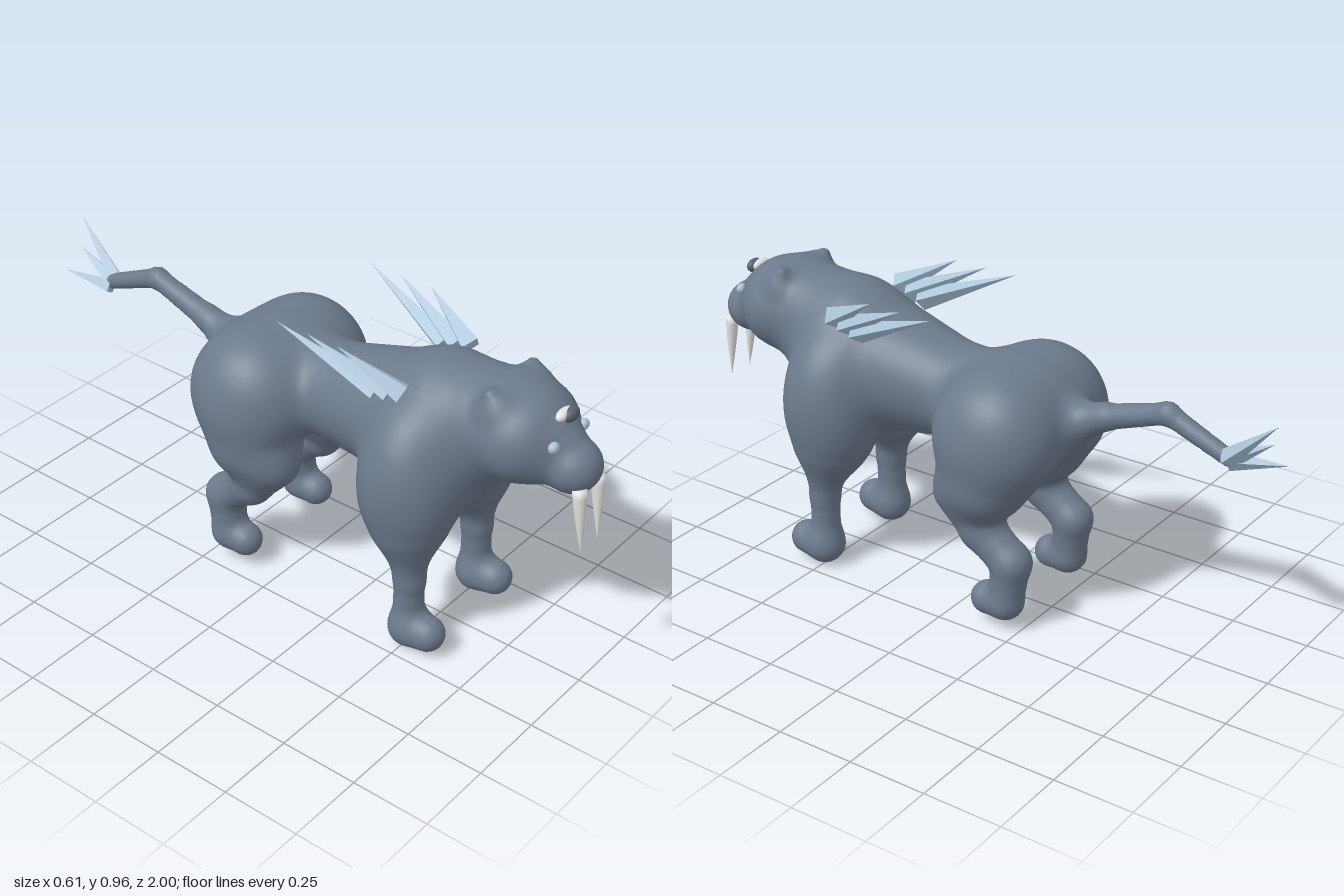
import * as THREE from 'three';

const V = (x, y, z) => new THREE.Vector3(x, y, z);
const mat = (name, color) => {
  const m = new THREE.MeshStandardMaterial({ color });
  m.name = name;
  return m;
};

// Rounded forms that melt into one skin, mirrored in x; k is the blend width
const forms = [];
function mass(k, cx, cy, cz, rx, ry, rz) {
  forms.push({ k, d: (x, y, z) => {
    const px = (x - cx) / rx, py = (y - cy) / ry, pz = (z - cz) / rz;
    const a = Math.hypot(px, py, pz) + 1e-6;
    return a * (a - 1) / (Math.hypot(px / rx, py / ry, pz / rz) + 1e-6);
  } });
}
// A run of tapering segments through joints [x, y, z, radius]
function limb(k, ...joints) {
  for (let i = 1; i < joints.length; i++) {
    const [ax, ay, az, ra] = joints[i - 1], [bx, by, bz, rb] = joints[i];
    const dx = bx - ax, dy = by - ay, dz = bz - az;
    const len = dx * dx + dy * dy + dz * dz;
    forms.push({ k: i === 1 ? k : 0.02, d: (x, y, z) => {
      const px = x - ax, py = y - ay, pz = z - az;
      const t = THREE.MathUtils.clamp((px * dx + py * dy + pz * dz) / len, 0, 1);
      return Math.hypot(px - t * dx, py - t * dy, pz - t * dz) - ra - t * (rb - ra);
    } });
  }
}

// chest, back, belly and pelvis
mass(0.03, 0, 0.67, 0.48, 0.2, 0.245, 0.215);
limb(0.03, [0, 0.68, 0.4, 0.2], [0, 0.65, 0.1, 0.145], [0, 0.65, -0.1, 0.153]);
limb(0.02, [0, 0.6, 0.37, 0.14], [0, 0.618, 0.1, 0.12]);
mass(0.04, 0, 0.64, -0.13, 0.235, 0.182, 0.205);
// shoulder and hip
mass(0.06, 0.15, 0.56, 0.475, 0.151, 0.245, 0.155);
mass(0.06, 0.14, 0.61, -0.13, 0.16, 0.198, 0.197);
// neck, throat and head
limb(0.04, [0, 0.74, 0.52, 0.18], [0, 0.785, 0.7, 0.155]);
limb(0.03, [0, 0.67, 0.54, 0.16], [0, 0.76, 0.7, 0.132]);
mass(0.02, 0, 0.785, 0.755, 0.168, 0.15, 0.15);
// broad brow, ear, jaw, nose bridge and muzzle
limb(0.03, [0, 0.868, 0.72, 0.07], [0.082, 0.873, 0.715, 0.058]);
limb(0.03, [0.092, 0.9, 0.715, 0.028], [0.105, 0.927, 0.7, 0.014]);
limb(0.04, [0, 0.755, 0.84, 0.096], [0, 0.733, 0.915, 0.075]);
limb(0.03, [0, 0.8, 0.85, 0.07], [0, 0.745, 0.93, 0.058]);
mass(0.015, 0, 0.733, 0.915, 0.084, 0.077, 0.083);
// front leg
limb(0.05, [0.17, 0.4, 0.49, 0.083], [0.172, 0.24, 0.502, 0.046],
  [0.173, 0.07, 0.502, 0.047]);
limb(0.04, [0.174, 0.064, 0.51, 0.061], [0.175, 0.068, 0.575, 0.055]);
// hind leg
limb(0.04, [0.15, 0.56, -0.12, 0.145], [0.158, 0.48, -0.108, 0.14]);
limb(0.05, [0.162, 0.42, -0.035, 0.092], [0.17, 0.31, -0.105, 0.066],
  [0.17, 0.225, -0.213, 0.06], [0.175, 0.09, -0.195, 0.055], [0.175, 0.083, -0.132, 0.053]);
// tail
limb(0.05, [0, 0.65, -0.3, 0.075], [0, 0.7, -0.42, 0.039],
  [0, 0.768, -0.63, 0.031], [0, 0.685, -0.83, 0.025]);

function skin(x, y, z) {
  let d = 1;
  for (const f of forms) {
    const e = f.d(Math.abs(x), y, z), h = Math.max(0, f.k - Math.abs(d - e));
    d = Math.min(d, e) - h * h / (4 * f.k);
  }
  return d;
}

const gradient = (p, e = 0.004) => V(
  skin(p.x + e, p.y, p.z) - skin(p.x - e, p.y, p.z),
  skin(p.x, p.y + e, p.z) - skin(p.x, p.y - e, p.z),
  skin(p.x, p.y, p.z + e) - skin(p.x, p.y, p.z - e)).divideScalar(2 * e);

// Wrap the blended forms in a smooth skin of grid quads
function skinGeometry() {
  const s = 0.0163, lo = V(-0.3423, -0.0431, -0.9017), n = [43, 65, 120];
  const step = [1, n[0], n[0] * n[1]];
  const field = new Float32Array(n[0] * n[1] * n[2]);
  const cell = new Int32Array(field.length).fill(-1);
  const pos = [], nor = [], idx = [];
  const each = (from, to, fn) => {
    for (let k = from; k < n[2] - to; k++)
      for (let j = from; j < n[1] - to; j++)
        for (let i = from; i < n[0] - to; i++) fn(i, j, k, i + j * step[1] + k * step[2]);
  };
  each(0, 0, (i, j, k, c) => {
    field[c] = skin(lo.x + i * s, lo.y + j * s, lo.z + k * s);
  });
  // one vertex in each cell the surface crosses
  each(0, 1, (i, j, k, c) => {
    const sum = V(0, 0, 0);
    let count = 0;
    for (let q = 0; q < 8; q++) {
      for (let a = 0; a < 3; a++) {
        if (q >> a & 1) continue;
        const o = [q & 1, q >> 1 & 1, q >> 2 & 1];
        const c0 = c + o[0] + o[1] * step[1] + o[2] * step[2];
        const f0 = field[c0], f1 = field[c0 + step[a]];
        if ((f0 < 0) === (f1 < 0)) continue;
        o[a] += f0 / (f0 - f1);
        sum.add(V(...o));
        count++;
      }
    }
    if (!count) return;
    const p = sum.divideScalar(count).add(V(i, j, k)).multiplyScalar(s).add(lo);
    const g = gradient(p);
    const move = -skin(p.x, p.y, p.z) / Math.max(g.lengthSq(), 0.25);
    p.addScaledVector(g, THREE.MathUtils.clamp(move, -s / 2, s / 2));
    cell[c] = pos.length / 3;
    pos.push(p.x, p.y, p.z);
    nor.push(...gradient(p).normalize().toArray());
  });
  // one quad around each grid edge the surface crosses
  each(1, 1, (i, j, k, c) => {
    for (let a = 0; a < 3; a++) {
      const inside = field[c] < 0;
      if (inside === (field[c + step[a]] < 0)) continue;
      const u = step[(a + 1) % 3], v = step[(a + 2) % 3];
      const q = [cell[c], cell[c - u], cell[c - u - v], cell[c - v]];
      if (!inside) q.reverse();
      idx.push(q[0], q[1], q[2], q[0], q[2], q[3]);
    }
  });
  const g = new THREE.BufferGeometry();
  g.setAttribute('position', new THREE.Float32BufferAttribute(pos, 3));
  g.setAttribute('normal', new THREE.Float32BufferAttribute(nor, 3));
  g.setIndex(idx);
  return g;
}

export function createModel() {
  const model = new THREE.Group();
  model.name = 'sabreToothedBeast';
  const hide = mat('slate hide', 0x6c7a8c);
  const quill = mat('pale blue quill', 0xa9c4d8);
  const ivory = mat('ivory', 0xe4e5e0);
  const stone = mat('dark brow stone', 0x59636f);

  const add = (name, geometry, material) => {
    const m = new THREE.Mesh(geometry, material);
    m.name = name;
    model.add(m);
    return m;
  };
  // point a mesh that rises along +y from a to b
  const aim = (m, a, b) => {
    m.position.copy(a);
    m.quaternion.setFromUnitVectors(V(0, 1, 0), b.clone().sub(a).normalize());
  };
  const spike = (name, a, b, r) => {
    const len = a.distanceTo(b);
    const g = new THREE.ConeGeometry(r, len, 4).translate(0, len / 2, 0).toNonIndexed();
    g.computeVertexNormals();
    aim(add(name, g, quill), a, b);
  };
  const bead = (name, c, r, material) => {
    const m = add(name, new THREE.SphereGeometry(1, 20, 14), material);
    m.position.copy(c);
    m.scale.copy(r);
  };

  add('body', skinGeometry(), hide);

  // tusk profile: closed base, bulging taper to a point
  const tuskProfile = [new THREE.Vector2(0, 0)];
  for (let t = 0; t <= 8; t++) {
    tuskProfile.push(new THREE.Vector2(0.021 * (1 - (t / 8) ** 1.5), 0.213 * t / 8));
  }
  for (const s of [1, -1]) {
    bead('eye', V(s * 0.075, 0.82, 0.896), V(0.019, 0.017, 0.015), quill);
    aim(add('tusk', new THREE.LatheGeometry(tuskProfile, 16), ivory),
      V(s * 0.047, 0.7, 0.971), V(s * 0.044, 0.49, 0.99));
    // fan of shoulder quills
    for (let i = 0; i < 3; i++) {
      spike('shoulderQuill', V(s * 0.163, 0.857 - 0.013 * i, 0.45 - 0.045 * i),
        V(s * 0.219, 0.965, 0.262 - 0.111 * i), 0.037);
    }
  }

  // brow stone with its pale backing
  bead('browStone', V(0.014, 0.882, 0.89), V(0.033, 0.022, 0.018), stone);
  bead('browStoneBacking', V(0, 0.884, 0.877), V(0.037, 0.018, 0.018), ivory);

  // tail tip quills, fanned on a slant
  for (const i of [-1, 0, 1]) {
    spike('tailQuill', V(i * 0.01, 0.68 + 0.008 * i, -0.828),
      V(i * 0.045, 0.767 + 0.078 * i, -0.97 - 0.028 * Math.abs(i)), 0.03);
  }
  return model;
}
